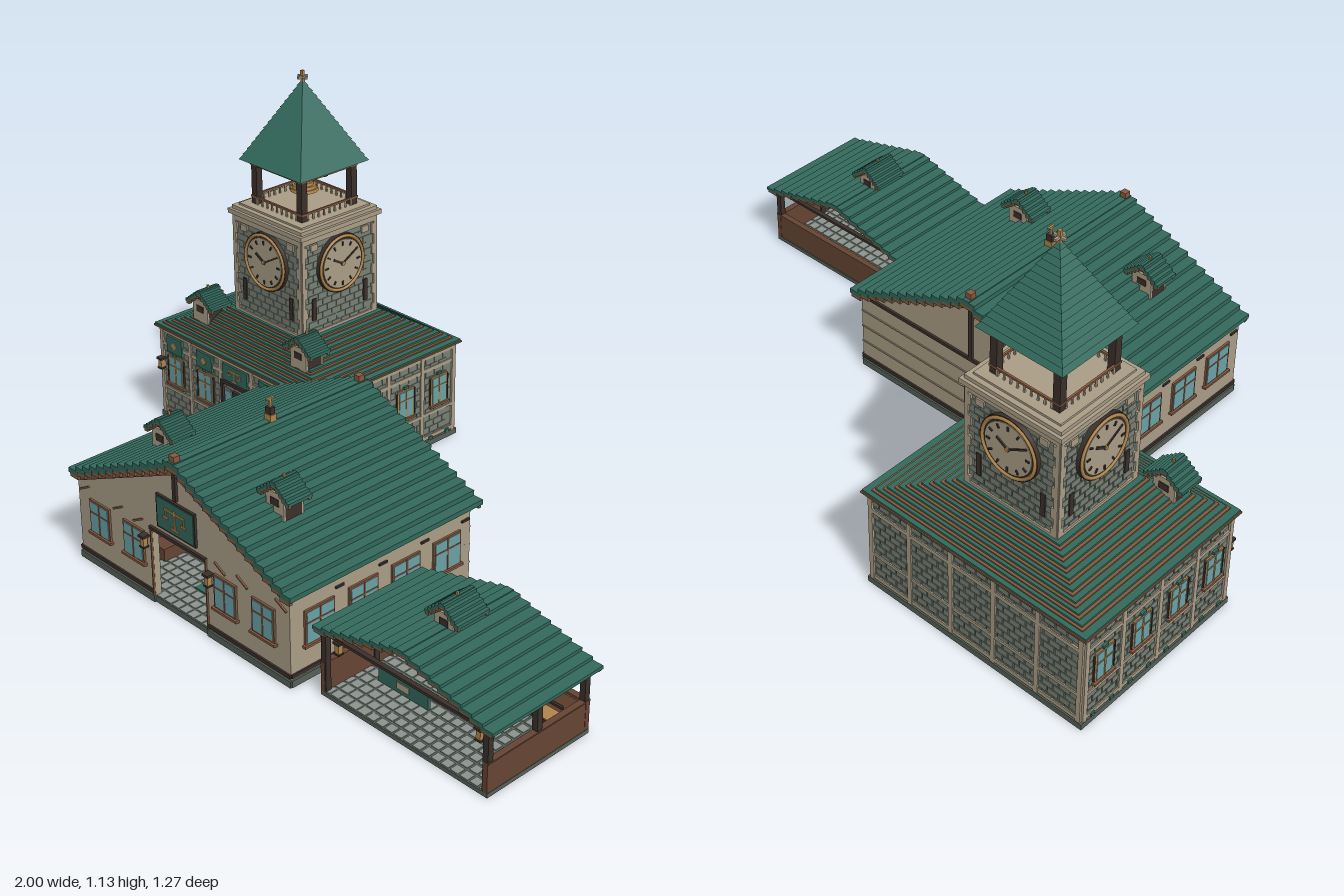
import * as THREE from 'three';
import { mergeGeometries } from 'three/addons/utils/BufferGeometryUtils.js';

const COLORS = {
  roofGreen: 0x33695c, plaster: 0xab9e87, stone: 0x788075, glass: 0x6aa3a8, brown: 0x664533, dark: 0x3b302b,
  rust: 0x865940, gold: 0xaf854b, paving: 0x8d938e, foundation: 0x566058,
};

export function createModel() {
  const mats = {}, bins = new Map(), root = new THREE.Group();
  for (const [name, color] of Object.entries(COLORS)) {
    mats[name] = new THREE.MeshStandardMaterial({ color });
    mats[name].name = name;
  }
  // Collect pieces by part and colour; merged into meshes at the end
  const put = (part, mat, geo) => {
    const key = part + '|' + mat;
    if (!bins.has(key)) bins.set(key, []);
    bins.get(key).push(geo.index ? geo.toNonIndexed() : geo);
  };
  // Box by centre x, bottom y, centre z
  const box = (part, mat, x, y, z, w, h, d) =>
    put(part, mat, new THREE.BoxGeometry(w, h, d).translate(x, y + h / 2, z));
  // Drawing surface on a wall: u along the wall, y up, out away from it
  const face = (cx, cz, angle) => {
    const m = new THREE.Matrix4().makeRotationY(angle).setPosition(cx, 0, cz);
    const geo = (part, mat, g, u, y, out = 0) => put(part, mat, g.translate(u, y, out).applyMatrix4(m));
    const f = (part, mat, u, y, w, h, depth, out = 0) =>
      geo(part, mat, new THREE.BoxGeometry(w, h, depth), u, y + h / 2, out + depth / 2);
    f.geo = geo;
    return f;
  };
  const fourFaces = (cx, cz, hx, hz) => [
    face(cx, cz + hz, 0), face(cx + hx, cz, Math.PI / 2), face(cx, cz - hz, Math.PI), face(cx - hx, cz, -Math.PI / 2)];

  const windowOn = (f, u, y, w, h, frame) => {
    f('windowFrame', frame, u, y, w, h, 0.006);
    f('windowGlass', 'glass', u, y + 0.005, w - 0.01, h - 0.01, 0.008);
    f('windowBars', frame, u, y + 0.004, 0.005, h - 0.008, 0.0095);
    f('windowBars', frame, u, y + h * 0.62, w - 0.008, 0.004, 0.0095);
    f('windowSill', 'rust', u, y - 0.006, w + 0.012, 0.007, 0.012);
  };
  const lantern = (x, y, z) => {
    box('lantern', 'dark', x, y, z, 0.018, 0.005, 0.018);
    box('lantern', 'gold', x, y + 0.005, z, 0.014, 0.026, 0.014);
    box('lantern', 'dark', x, y + 0.031, z, 0.022, 0.007, 0.022);
  };
  // Gilded weighing-scale ornament for the sign boards
  const scales = (f, y, k) => {
    const part = (u, v, w, h) => f('signOrnament', 'gold', u * k, y + v * k, w * k, h * k, 0.003, 0.0085);
    part(0, 0, 0.036, 0.006);
    part(0, 0, 0.007, 0.06);
    part(0, 0.048, 0.08, 0.006);
    for (const s of [-1, 1]) { part(s * 0.036, 0.028, 0.003, 0.02); part(s * 0.036, 0.024, 0.022, 0.006); }
  };
  // Slab topped with square pavers
  const pavedFloor = (part, cx, cz, w, d, h) => {
    box(part, 'foundation', cx, 0, cz, w, h, d);
    const nx = Math.round(w / 0.032), nz = Math.round(d / 0.032);
    for (let i = 0; i < nx; i++) for (let j = 0; j < nz; j++)
      box(part + 'Pavers', 'paving', cx + ((i + 0.5) / nx - 0.5) * w, h, cz + ((j + 0.5) / nz - 0.5) * d, 0.025, 0.002, 0.025);
  };
  // Planked gable roof with ridge along z and stepped barge boards at both ends
  const gableRoof = (part, cx, cz, half, len, eave, ridge, n) => {
    const s = half / n, rise = (ridge - eave) / n;
    for (let i = 0; i < n; i++) for (const side of [-1, 1]) {
      const x = cx + side * (half - s * (i + 0.5)), y = eave + rise * i;
      box(part, 'roofGreen', x - side * s * 0.15, y, cz, s * 1.3, rise, len);
      for (const e of [-1, 1])
        box(part + 'Barge', 'rust', x - side * s * 0.2, y - rise * 0.75, cz + e * (len / 2 - 0.006), s * 1.1, rise * 0.8, 0.01);
    }
    box(part + 'Ridge', 'roofGreen', cx, ridge - 0.004, cz, s * 0.7, 0.007, len);
  };
  const dormer = (x, y, z, half, len, bodyH, roofH) => {
    box('dormerBody', 'dark', x, y, z, half * 1.1, bodyH + roofH * 0.3, len * 0.75);
    for (const s of [-1, 1]) {
      box('dormerFront', 'plaster', x, y, z + s * len * 0.38, half * 1.12, bodyH + roofH * 0.35, 0.006);
      box('dormerVent', 'dark', x, y + bodyH - 0.02, z + s * (len * 0.38 + 0.003), half * 0.5, 0.02, 0.005);
    }
    gableRoof('dormerRoof', x, z, half, len, y + bodyH, y + bodyH + roofH, 5);
    box('dormerFinial', 'gold', x, y + bodyH + roofH, z, 0.006, 0.012, 0.006);
  };
  // Slightly raised stone blocks in staggered courses
  const stones = (f, half, y0, y1) => {
    const w = 0.036, h = 0.021;
    for (let r = 0; y0 + (r + 1) * h <= y1; r++)
      for (let u = -half + (r % 2 ? w : w / 2); u < half - w / 2; u += w)
        f('stoneBlocks', 'stone', u, y0 + r * h + 0.0015, w - 0.004, h - 0.003, 0.002);
  };

  // ---- Station hall ----
  const HX = -0.075, HZ = 0.2925, HW = 0.425, HD = 0.3175;
  pavedFloor('hallFloor', HX, HZ, HW * 2, HD * 2, 0.018);
  const gable = (door) => {
    const s = new THREE.Shape();
    s.moveTo(-HW, 0.018);
    if (door) { s.lineTo(-0.108, 0.018); s.lineTo(-0.108, 0.23); s.lineTo(0.108, 0.23); s.lineTo(0.108, 0.018); }
    s.lineTo(HW, 0.018); s.lineTo(HW, 0.258); s.lineTo(0, 0.45); s.lineTo(-HW, 0.258);
    return new THREE.ExtrudeGeometry(s, { depth: 0.02, bevelEnabled: false });
  };
  put('hallFrontWall', 'plaster', gable(true).translate(HX, 0, HZ + HD - 0.02));
  put('hallBackWall', 'plaster', gable(false).translate(HX, 0, HZ - HD));
  for (const s of [-1, 1]) box('hallSideWall', 'plaster', HX + s * (HW - 0.01), 0.018, HZ, 0.02, 0.245, HD * 2 - 0.04);
  const [hf, hr, hb, hl] = fourFaces(HX, HZ, HW, HD);
  // plinth, base band, doorway, sign, windows
  for (const s of [-1, 1]) {
    hf('hallPlinth', 'foundation', s * 0.268, 0, 0.32, 0.02, 0.005);
    hf('hallBaseBand', 'dark', s * 0.268, 0.027, 0.318, 0.01, 0.005);
    hf('doorFrame', 'rust', s * 0.111, 0.018, 0.004, 0.215, 0.005);
    for (const u of [0.185, 0.33]) windowOn(hf, s * u, 0.105, 0.085, 0.1, 'rust');
    for (const u of [0.165, 0.25, 0.395]) {
      hf.geo('gableBrace', 'rust', new THREE.BoxGeometry(0.045, 0.005, 0.005).rotateZ(-s * 0.5), s * u, 0.228, 0.002);
    }
    lantern(HX + s * 0.13, 0.165, HZ + HD + 0.013);
  }
  hf('doorHeader', 'dark', 0, 0.226, 0.226, 0.009, 0.008);
  hf('signBoard', 'dark', 0, 0.25, 0.155, 0.098, 0.007);
  hf('signBoard', 'roofGreen', 0, 0.255, 0.146, 0.088, 0.009);
  scales(hf, 0.267, 1);
  box('hallRug', 'roofGreen', HX, 0.018, HZ - 0.03, 0.13, 0.004, 0.5);
  for (const s of [-1, 1]) for (const z of [0.12, 0.4]) box('hallBench', 'brown', HX + s * 0.25, 0.018, z, 0.06, 0.04, 0.18);
  for (const f of [hf, hb]) for (const s of [-1, 1])
    f.geo('gableRake', 'rust', new THREE.BoxGeometry(0.465, 0.016, 0.007).rotateZ(-s * 0.424), s * 0.212, 0.345, 0.003);
  hf('gablePost', 'dark', 0, 0.355, 0.013, 0.09, 0.008);
  hb('gablePost', 'dark', 0, 0.26, 0.013, 0.185, 0.008);
  hb('gableTie', 'dark', 0, 0.25, HW * 2, 0.01, 0.007);
  for (const y of [0.085, 0.14, 0.195]) hb('hallBoardJoint', 'plaster', 0, y, HW * 2, 0.004, 0.003);
  hb('hallPlinth', 'foundation', 0, 0, HW * 2, 0.02, 0.005);
  hb('hallBaseBand', 'dark', 0, 0.027, HW * 2, 0.01, 0.005);
  for (const f of [hr, hl]) {
    f('hallPlinth', 'foundation', 0, 0, HD * 2, 0.02, 0.005);
    f('hallBaseBand', 'dark', 0, 0.027, HD * 2, 0.01, 0.005);
    for (const z of [0.515, 0.365, 0.215, 0.065]) {
      const u = (f === hr ? -1 : 1) * (z - HZ);
      windowOn(f, u, 0.105, 0.1, 0.1, 'rust');
      f('windowLintel', 'dark', u + 0.07, 0.222, 0.028, 0.006, 0.005);
    }
  }
  gableRoof('hallRoof', HX, 0.287, 0.445, 0.676, 0.262, 0.467, 14);
  for (const s of [-1, 1]) dormer(HX + s * 0.2275, 0.345, 0.445, 0.06, 0.08, 0.06, 0.046);
  for (const z of [0.61, -0.03]) box('ridgeFinial', 'rust', HX, 0.465, z, 0.02, 0.022, 0.02);
  box('roofLamp', 'gold', HX, 0.465, 0.29, 0.026, 0.022, 0.02);
  box('roofLamp', 'dark', HX, 0.487, 0.29, 0.02, 0.02, 0.016);
  box('roofLamp', 'gold', HX, 0.507, 0.29, 0.007, 0.026, 0.007);
  box('roofLamp', 'gold', HX, 0.528, 0.29, 0.007, 0.005, 0.026);

  // ---- Stone building under the tower ----
  const TX = -0.635, TZ = -0.345, BW = 0.35, BD = 0.278;
  box('lowerBase', 'foundation', TX, 0, TZ, BW * 2 + 0.014, 0.018, BD * 2 + 0.014);
  box('lowerWalls', 'stone', TX, 0.018, TZ, BW * 2, 0.292, BD * 2);
  fourFaces(TX, TZ, BW, BD).forEach((f, k) => {
    const half = k % 2 ? BD : BW, bays = k % 2 ? 4 : 5, bay = 2 * half / bays;
    stones(f, half, 0.02, 0.3);
    for (const [y, h] of [[0.022, 0.012], [0.103, 0.009], [0.25, 0.012], [0.292, 0.012]])
      f('timberRail', 'plaster', 0, y, half * 2, h, 0.005);
    for (let i = 0; i <= bays; i++)
      f('timberPost', 'plaster', THREE.MathUtils.clamp(-half + i * bay, -half + 0.007, half - 0.007), 0.018, 0.014, 0.29, 0.006);
    for (let i = 0; i < bays && k !== 2; i++) {
      const u = -half + (i + 0.5) * bay;
      if (k === 0 && i === 2) continue;
      windowOn(f, u, 0.13, 0.066, 0.095, 'gold');
      f('windowCrest', 'roofGreen', u, 0.228, 0.018, 0.008, 0.009);
      for (const s of [-1, 1]) f('windowShutter', 'dark', u + s * 0.036, 0.135, 0.004, 0.085, 0.007);
      if (k === 0) {
        f('wallPanel', 'roofGreen', u, 0.237, 0.07, 0.052, 0.009);
        f.geo('wallPanelOrnament', 'gold', new THREE.BoxGeometry(0.018, 0.018, 0.004).rotateZ(Math.PI / 4), u, 0.263, 0.009);
      }
      for (const s of [-1, 1]) f('plantTuft', 'roofGreen', u + s * 0.035, 0.02, 0.014, 0.01, 0.009);
    }
    if (k === 0) { // entrance
      for (const s of [-1, 1]) {
        f('entrancePost', 'dark', s * 0.062, 0.018, 0.01, 0.21, 0.009);
        f('entranceGlass', 'glass', s * 0.036, 0.09, 0.03, 0.11, 0.006);
      }
      f('entranceHeader', 'dark', 0, 0.222, 0.134, 0.01, 0.009);
      f('entranceDoor', 'dark', 0, 0.018, 0.028, 0.19, 0.008);
      f('entranceSign', 'roofGreen', 0, 0.237, 0.11, 0.052, 0.009);
      scales(f, 0.243, 0.65);
      f('entranceBench', 'brown', 0, 0.018, 0.125, 0.045, 0.014);
      f('entranceBench', 'rust', 0, 0.06, 0.13, 0.007, 0.016);
    }
  });
  for (const x of [-0.975, -0.505]) lantern(x, 0.17, TZ + BD + 0.013);
  // hipped roof in stepped courses with copper edges
  for (let i = 0; i < 9; i++) {
    const t = i / 9, w = 2 * THREE.MathUtils.lerp(0.365, 0.15, t), d = 2 * THREE.MathUtils.lerp(0.294, 0.15, t), y = 0.308 + i * 0.009;
    box('lowerRoofTrim', 'rust', TX, y, TZ, w, 0.005, d);
    box('lowerRoof', 'roofGreen', TX, y + 0.002, TZ, w - (i ? 0.016 : 0.006), 0.0085, d - (i ? 0.014 : 0.006));
  }
  for (const s of [-1, 1]) dormer(TX + s * 0.218, 0.315, -0.148, 0.06, 0.078, 0.085, 0.047);

  // ---- Clock tower ----
  box('towerShaft', 'stone', TX, 0.37, TZ, 0.29, 0.33, 0.29);
  for (const f of fourFaces(TX, TZ, 0.145, 0.145)) {
    stones(f, 0.14, 0.39, 0.68);
    for (const s of [-1, 1]) {
      for (let i = 0; i < 10; i++) f('towerQuoin', 'plaster', s * (i % 2 ? 0.142 : 0.138), 0.385 + i * 0.032, i % 2 ? 0.012 : 0.02, 0.032, 0.006);
      f('towerSlit', 'dark', s * 0.102, 0.437, 0.015, 0.068, 0.006);
      f('towerBracket', 'plaster', s * 0.1, 0.655, 0.026, 0.02, 0.006);
    }
    f('towerBand', 'plaster', 0, 0.387, 0.29, 0.012, 0.006);
    f('towerBand', 'plaster', 0, 0.68, 0.29, 0.022, 0.006);
    const disc = (r, d) => new THREE.CylinderGeometry(r, r, d, 32).rotateX(Math.PI / 2);
    f.geo('clockRim', 'dark', disc(0.09, 0.014), 0, 0.59, 0.007);
    f.geo('clockRing', 'gold', new THREE.TorusGeometry(0.083, 0.005, 6, 32), 0, 0.59, 0.014);
    f.geo('clockFace', 'plaster', disc(0.074, 0.016), 0, 0.59, 0.008);
    const mark = (a, r0, r1, w, mat, name) =>
      f.geo(name, mat, new THREE.BoxGeometry(w, r1 - r0, 0.003).translate(0, (r0 + r1) / 2, 0).rotateZ(-a), 0, 0.59, 0.0175);
    for (let i = 0; i < 12; i++) mark(i * Math.PI / 6, 0.056, 0.068, 0.005, 'dark', 'clockTick');
    mark(-1.05, -0.006, 0.04, 0.007, 'dark', 'clockHand');
    mark(1.05, -0.006, 0.058, 0.005, 'dark', 'clockHand');
    f.geo('clockHub', 'gold', disc(0.006, 0.006), 0, 0.59, 0.018);
  }
  box('towerCornice', 'plaster', TX, 0.7, TZ, 0.318, 0.014, 0.318);
  box('towerCornice', 'plaster', TX, 0.714, TZ, 0.3, 0.011, 0.3);
  box('belfryFloor', 'plaster', TX, 0.725, TZ, 0.27, 0.006, 0.27);

  // ---- Belfry ----
  for (const f of fourFaces(TX, TZ, 0.11, 0.11)) {
    f('belfryRail', 'rust', 0, 0.75, 0.22, 0.006, 0.006, -0.006);
    for (let i = -4; i <= 4; i++) f('belfryBaluster', 'plaster', i * 0.021, 0.731, 0.005, 0.02, 0.004, -0.005);
    f('belfryBeam', 'rust', 0, 0.85, 0.22, 0.012, 0.012, -0.012);
  }
  for (const sx of [-1, 1]) for (const sz of [-1, 1])
    box('belfryPost', 'dark', TX + sx * 0.097, 0.731, TZ + sz * 0.097, 0.022, 0.132, 0.022);
  [0.042, 0.036, 0.028, 0.025, 0.022, 0.018, 0.01].forEach((r, i) =>
    put('bell', 'gold', new THREE.CylinderGeometry(r * 0.95, r, 0.009, 20).translate(TX, 0.7775 + i * 0.009, TZ)));
  put('bellClapper', 'dark', new THREE.SphereGeometry(0.007, 8, 6).translate(TX, 0.772, TZ));
  box('bellBeam', 'dark', TX, 0.84, TZ, 0.19, 0.012, 0.014);
  // spire in overlapping flat-sided courses
  box('spireEave', 'rust', TX, 0.862, TZ, 0.25, 0.006, 0.25);
  for (let i = 0; i < 15; i++) {
    const r = h => 0.13 * Math.SQRT2 * (1 - h / 15);
    const course = new THREE.CylinderGeometry(Math.max(r(i + 1), 0.002), r(i) + 0.005, 0.0163, 4).rotateY(Math.PI / 4).toNonIndexed();
    course.computeVertexNormals();
    put('spire', 'roofGreen', course.translate(TX, 0.874 + i * 0.016, TZ));
  }
  box('spireFinial', 'gold', TX, 1.095, TZ, 0.009, 0.04, 0.009);
  box('spireFinial', 'plaster', TX, 1.112, TZ, 0.036, 0.007, 0.007);
  box('spireFinial', 'plaster', TX, 1.112, TZ, 0.007, 0.007, 0.036);

  // ---- Open pavilion ----
  const PX = 0.7, PZ = 0.3975;
  pavedFloor('pavilionFloor', PX, PZ, 0.56, 0.355, 0.012);
  box('pavilionBackWall', 'brown', PX, 0.014, 0.228, 0.56, 0.08, 0.014);
  box('pavilionBackLining', 'rust', PX, 0.018, 0.236, 0.53, 0.072, 0.005);
  box('pavilionWallCap', 'brown', PX, 0.094, 0.228, 0.56, 0.004, 0.018);
  for (const s of [-1, 1]) {
    box('pavilionSideWall', 'brown', PX + s * 0.272, 0.012, PZ, 0.014, 0.082, 0.355);
    box('pavilionWallCap', 'brown', PX + s * 0.272, 0.094, PZ, 0.018, 0.004, 0.355);
    for (const z of [0.565, 0.398, 0.23]) box('pavilionPost', 'dark', PX + s * 0.27, 0.014, z, 0.017, 0.172, 0.017);
    box('pavilionBeam', 'brown', PX + s * 0.27, 0.178, PZ, 0.018, 0.012, 0.36);
    lantern(PX + s * 0.235, 0.13, 0.555);
    box('lanternRod', 'dark', PX + s * 0.235, 0.168, 0.555, 0.004, 0.022, 0.004);
  }
  for (const z of [0.565, 0.23]) box('pavilionBeam', 'dark', PX, 0.179, z, 0.55, 0.008, 0.014);
  for (const x of [0.53, 0.7, 0.87]) {
    box('benchSeat', 'gold', x, 0.034, 0.272, 0.1, 0.005, 0.045);
    box('benchFront', 'dark', x, 0.026, 0.293, 0.1, 0.01, 0.005);
    box('benchBack', 'dark', x, 0.05, 0.248, 0.1, 0.007, 0.007);
    for (const s of [-1, 1]) box('benchLeg', 'dark', x + s * 0.045, 0.014, 0.272, 0.008, 0.02, 0.04);
  }
  box('pavilionSign', 'roofGreen', PX, 0.138, 0.565, 0.165, 0.042, 0.008);
  box('pavilionSignPlate', 'plaster', PX, 0.15, 0.565, 0.04, 0.018, 0.012);
  gableRoof('pavilionRoof', PX, 0.393, 0.3, 0.38, 0.187, 0.27, 9);
  dormer(PX, 0.245, 0.39, 0.055, 0.11, 0.045, 0.045);

  for (const [key, geos] of bins) {
    const [part, mat] = key.split('|');
    const mesh = new THREE.Mesh(mergeGeometries(geos), mats[mat]);
    mesh.name = part;
    root.add(mesh);
  }
  root.name = 'stationWithClockTower';
  return root;
}
